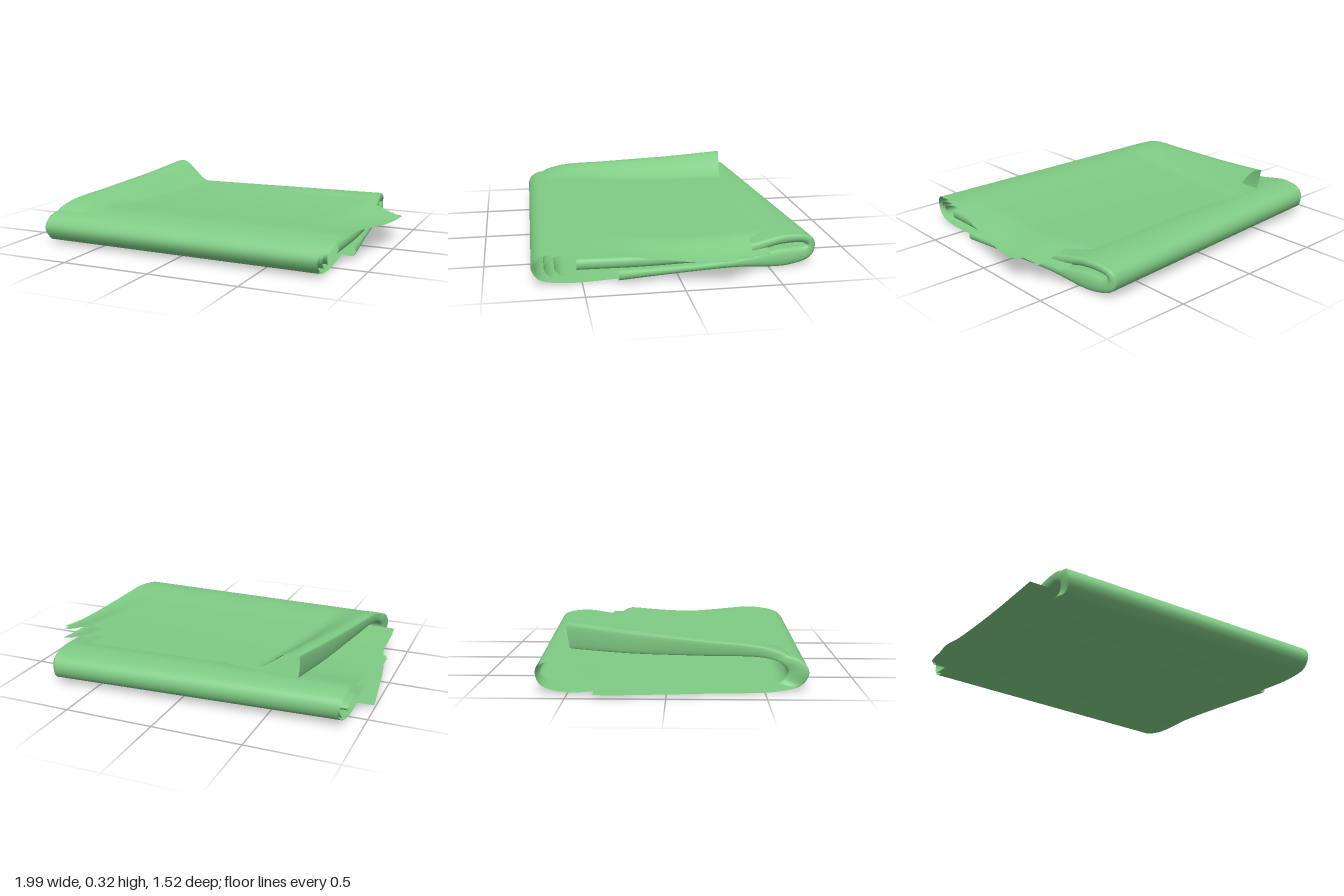
import * as THREE from 'three';
import { ParametricGeometry } from 'three/addons/geometries/ParametricGeometry.js';

const smooth = THREE.MathUtils.smoothstep;
const lerp = THREE.MathUtils.lerp;

// Each row is one line across the cloth: [left x, left z, right x, right z, y]
const wrapOuter = [
  [-0.63, -0.54, 0.99, -0.24, 0.197], [-0.68, -0.2, 0.95, 0.0, 0.183], [-0.74, 0.2, 0.9, 0.3, 0.182],
  [-0.79, 0.55, 0.85, 0.58, 0.188], [-0.81, 0.69, 0.825, 0.72, 0.155], [-0.82, 0.725, 0.81, 0.757, 0.095],
  [-0.81, 0.69, 0.81, 0.72, 0.03], [-0.84, 0.58, 0.81, 0.6, 0.004], [-0.9, 0.2, 0.78, 0.2, 0.004],
  [-0.96, -0.32, 0.74, -0.45, 0.006],
];
const wrapInner = [
  [-0.62, -0.52, 0.85, -0.48, 0.168], [-0.67, -0.2, 0.86, -0.1, 0.155], [-0.73, 0.2, 0.86, 0.25, 0.158],
  [-0.78, 0.5, 0.85, 0.52, 0.162], [-0.8, 0.59, 0.85, 0.61, 0.138], [-0.8, 0.62, 0.83, 0.64, 0.095],
  [-0.8, 0.59, 0.82, 0.61, 0.05], [-0.84, 0.5, 0.81, 0.52, 0.028], [-0.92, 0.2, 0.79, 0.2, 0.018],
  [-1.0, -0.36, 0.75, -0.5, 0.02],
];
const backOuter = [
  [-0.91, 0.5, 0.83, 0.53, 0.138], [-0.91, 0.1, 0.82, 0.1, 0.132], [-0.91, -0.3, 0.78, -0.35, 0.146],
  [-0.9, -0.54, 0.75, -0.6, 0.18], [-0.89, -0.64, 0.73, -0.735, 0.155], [-0.88, -0.665, 0.72, -0.76, 0.105],
  [-0.89, -0.64, 0.73, -0.735, 0.045], [-0.9, -0.52, 0.75, -0.6, 0.008], [-0.91, -0.25, 0.78, -0.3, 0.025],
  [-0.92, 0.1, 0.83, 0.1, 0.025], [-0.92, 0.3, 0.86, 0.32, 0.022],
];
const backInner = [
  [-0.89, 0.55, 0.83, 0.53, 0.08], [-0.9, 0.1, 0.82, 0.1, 0.075], [-0.92, -0.3, 0.78, -0.35, 0.085],
  [-0.93, -0.5, 0.75, -0.55, 0.127], [-0.93, -0.61, 0.73, -0.69, 0.123], [-0.93, -0.63, 0.73, -0.71, 0.112],
  [-0.93, -0.61, 0.73, -0.69, 0.103], [-0.93, -0.48, 0.75, -0.55, 0.1], [-0.92, -0.25, 0.78, -0.3, 0.07],
  [-0.9, 0.1, 0.83, 0.1, 0.067], [-0.88, 0.33, 0.86, 0.32, 0.075],
];

// Surface function of a layer that lies a share t of the way from outer to inner rows
function layer(outer, inner, t, shape) {
  const rows = outer.map((row, i) => row.map((a, j) => lerp(a, inner[i][j], t)));
  const left = new THREE.CatmullRomCurve3(rows.map(([x, z, , , y]) => new THREE.Vector3(x, y, z)));
  const right = new THREE.CatmullRomCurve3(rows.map(([, , x, z, y]) => new THREE.Vector3(x, y, z)));
  const l = new THREE.Vector3(), r = new THREE.Vector3();
  return (u, v, target) => {
    left.getPoint(v, l);
    right.getPoint(v, r);
    target.lerpVectors(l, r, u);
    if (shape) shape(target, u, v, target.x - l.x);
  };
}

// Lifted back left corner and drooping back right corner of the top panel
function liftCorner(amount) {
  return (p, u, v, s) => {
    if (v > 0.4) return;
    const back = THREE.MathUtils.clamp((0.62 - p.z) / 1.16, 0, 1) ** 0.6;
    const ridge = (1 - 0.13 * (1 - smooth(s, -0.04, 0.05))) * (1 - smooth(s, 0.035, 0.25));
    p.y += amount * back * ridge;
    p.y -= 0.06 * smooth(u, 0.85, 1) * (1 - smooth(v, 0.02, 0.33));
  };
}

// Rounded fold joining the side edges of two layers
function sideFold(a, b, side, vMax, bulge) {
  const pa = new THREE.Vector3(), pb = new THREE.Vector3();
  return (u, v, target) => {
    a(side, v * vMax, pa);
    b(side, v * vMax, pb);
    target.lerpVectors(pa, pb, (1 - Math.cos(Math.PI * u)) / 2);
    target.x += (side ? 1 : -1) * bulge * Math.sin(Math.PI * u);
  };
}

export function createModel() {
  const group = new THREE.Group();
  group.name = 'foldedCloth';
  const cloth = new THREE.MeshStandardMaterial({ color: 0x80cc85, side: THREE.DoubleSide });

  const add = (name, surface, slices, stacks) => {
    const mesh = new THREE.Mesh(new ParametricGeometry(surface, slices, stacks), cloth);
    mesh.name = name;
    group.add(mesh);
  };

  // Layers wrapped over the top, round the front and under the bottom
  const wraps = [0, 0.12, 0.55, 1].map((t) =>
    layer(wrapOuter, wrapInner, t, liftCorner(t < 0.5 ? 0.124 : 0.01)));
  wraps.forEach((surface, i) => add(`frontWrapLayer${i + 1}`, surface, 64, 72));
  add('topLeftFold', sideFold(wraps[0], wraps[3], 0, 0.7, 0.008), 10, 60);

  // Layers tucked inside and turned round the back
  const backs = [0, 0.2, 0.8, 1].map((t) => layer(backOuter, backInner, t));
  backs.forEach((surface, i) => add(`backFoldLayer${i + 1}`, surface, 24, 80));
  add('innerRightFold', sideFold(backs[0], backs[3], 1, 1, 0.02), 12, 80);

  return group;
}
